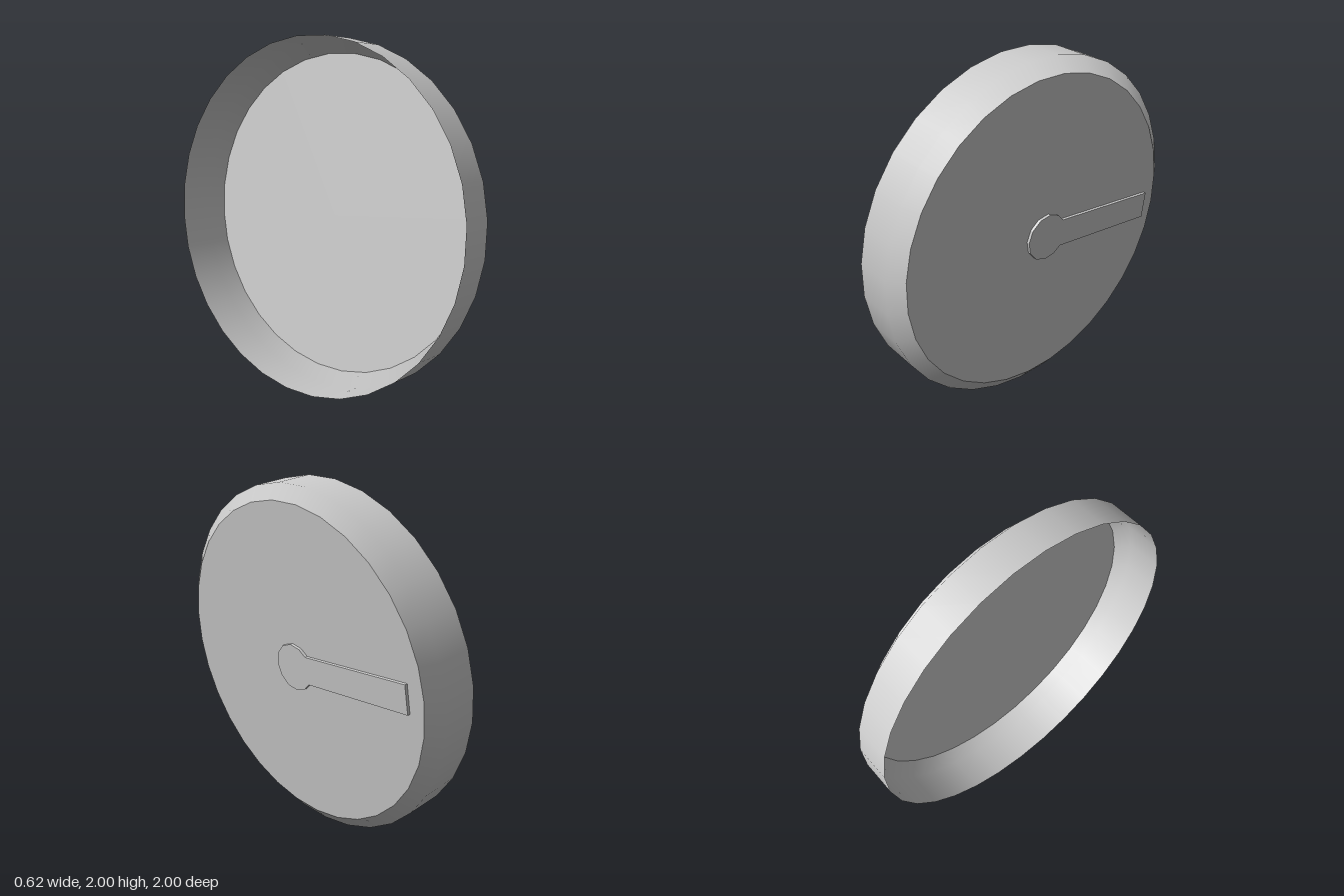
import * as THREE from 'three';

const RADIUS = 0.994, FACE_RADIUS = 0.915, WALL = 0.21, DEPTH = 0.27;

export function createModel() {
  const grey = new THREE.MeshStandardMaterial({ color: 0xcccccc, side: THREE.DoubleSide });
  grey.name = 'plain grey';
  const group = new THREE.Group();
  group.name = 'shallowLid';

  const add = (name, geometry) => {
    const mesh = new THREE.Mesh(geometry, grey);
    mesh.name = name;
    group.add(mesh);
    return mesh;
  };

  // Thin wall with a bevel towards the face; normals stay radial so both bands shade as one
  const wall = new THREE.LatheGeometry([
    new THREE.Vector2(RADIUS, 0),
    new THREE.Vector2(RADIUS, WALL),
    new THREE.Vector2(FACE_RADIUS, DEPTH),
  ], 32);
  const p = wall.attributes.position, n = wall.attributes.normal;
  for (let i = 0; i < p.count; i++) {
    const r = Math.hypot(p.getX(i), p.getZ(i));
    n.setXYZ(i, p.getX(i) / r, 0, p.getZ(i) / r);
  }
  add('wall', wall);

  // Flat closed face
  add('face', new THREE.CircleGeometry(FACE_RADIUS, 32).rotateX(-Math.PI / 2)).position.y = DEPTH;

  // Raised pointer: a twelve-sided hub running into a straight bar
  const hub = 0.135, half = 0.08, end = 0.82;
  const shape = new THREE.Shape();
  shape.moveTo(end, -half);
  shape.lineTo(end, half);
  shape.lineTo(0.11, half);
  for (let i = 2; i <= 10; i++) {
    const a = i * Math.PI / 6;
    shape.lineTo(hub * Math.cos(a), hub * Math.sin(a));
  }
  shape.lineTo(0.11, -half);
  shape.closePath();
  const pointer = new THREE.ExtrudeGeometry(shape, { depth: 0.017, bevelEnabled: false });
  add('pointer', pointer.rotateX(-Math.PI / 2)).position.y = DEPTH + 0.001;

  // Lean the whole lid: local y is its axis, local x runs along the pointer
  const axis = new THREE.Vector3(0.983, -0.158, -0.097).normalize();
  const along = new THREE.Vector3(-0.097, 0.012, -1).projectOnPlane(axis).normalize();
  const across = new THREE.Vector3().crossVectors(along, axis);
  group.quaternion.setFromRotationMatrix(new THREE.Matrix4().makeBasis(along, axis, across));
  group.position.set(-0.125, 1.016, 0.005);

  const model = new THREE.Group();
  model.name = 'model';
  model.add(group);
  return model;
}
